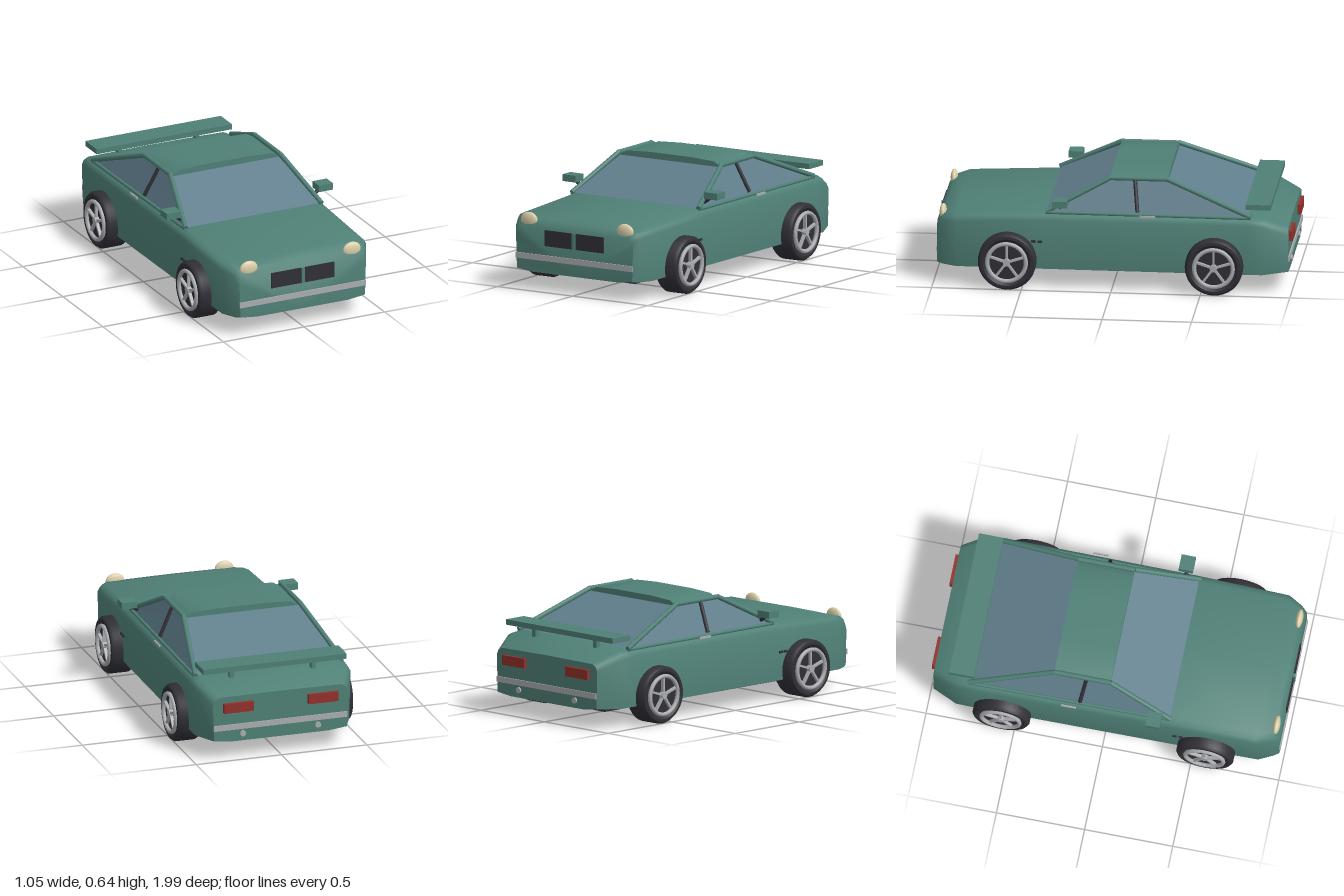
import * as THREE from 'three';
import { toCreasedNormals } from 'three/addons/utils/BufferGeometryUtils.js';

const mat = (name, color, side = THREE.FrontSide) => {
  const m = new THREE.MeshStandardMaterial({ color, side });
  m.name = name;
  return m;
};

export function createModel() {
  const paint = mat('green paint', 0x4f8076);
  const glass = mat('blue grey glass', 0x617f8d, THREE.DoubleSide);
  const rubber = mat('dark rubber', 0x302f37);
  const metal = mat('silver metal', 0xabadb0);
  const cream = mat('cream lamp', 0xdccfaa);
  const red = mat('red lamp', 0x93302a);

  const car = new THREE.Group();
  car.name = 'car';
  const add = (name, geo, material, parent = car) => {
    const m = new THREE.Mesh(geo, material);
    m.name = name;
    parent.add(m);
    return m;
  };
  const box = (name, material, w, h, d, x, y, z) => {
    const m = add(name, new THREE.BoxGeometry(w, h, d), material);
    m.position.set(x, y, z);
    return m;
  };
  // round bar between two points
  const bar = (name, material, a, b, r) => {
    const p = new THREE.Vector3(...a), q = new THREE.Vector3(...b);
    const dir = q.clone().sub(p);
    const m = add(name, new THREE.CylinderGeometry(r, r, dir.length(), 10), material);
    m.position.copy(p).add(q).multiplyScalar(0.5);
    m.quaternion.setFromUnitVectors(new THREE.Vector3(0, 1, 0), dir.normalize());
    return m;
  };
  // flat four-cornered pane
  const pane = (name, a, b, c, d) => {
    const g = new THREE.BufferGeometry();
    g.setAttribute('position', new THREE.Float32BufferAttribute([...a, ...b, ...c, ...a, ...c, ...d], 3));
    g.computeVertexNormals();
    return add(name, g, glass);
  };

  // body shell: sections [z, half width, top height, bottom height] front to back
  const sections = [
    [0.98, 0.39, 0.355, 0.105], [0.95, 0.41, 0.392, 0.1], [0.87, 0.45, 0.412, 0.1],
    [0.36, 0.455, 0.435, 0.1], [-0.75, 0.46, 0.437, 0.1], [-0.84, 0.458, 0.43, 0.1],
    [-0.98, 0.395, 0.37, 0.105],
  ];
  const rings = sections.map(([z, w, t, b]) => {
    const half = [[w * 0.72, b], [w * 0.985, b + 0.012], [w, t - 0.04], [w * 0.97, t - 0.015], [w * 0.9, t]];
    const left = half.map(([x, y]) => [x, y, z]);
    const right = half.map(([x, y]) => [-x, y, z]).reverse();
    return [[0, b, z], ...left, [0, t + 0.003, z], ...right];
  });
  const tri = [];
  const n = rings[0].length;
  for (let i = 0; i < rings.length - 1; i++) {
    for (let j = 0; j < n; j++) {
      const k = (j + 1) % n;
      const a = rings[i][j], b = rings[i][k], c = rings[i + 1][k], d = rings[i + 1][j];
      tri.push(...a, ...d, ...b, ...b, ...d, ...c);
    }
  }
  const front = rings[0], back = rings[rings.length - 1];
  for (let j = 1; j < n - 1; j++) {
    tri.push(...front[0], ...front[j], ...front[j + 1]);
    tri.push(...back[0], ...back[j + 1], ...back[j]);
  }
  const shell = new THREE.BufferGeometry();
  shell.setAttribute('position', new THREE.Float32BufferAttribute(tri, 3));
  add('body', toCreasedNormals(shell, 0.75), paint);
  box('underTray', rubber, 0.62, 0.04, 1.67, 0, 0.095, 0);

  // roof
  const roofShape = new THREE.Shape();
  [[0.335, 0.602], [0.33, 0.612], [0.29, 0.634], [0.14, 0.642], [-0.14, 0.642], [-0.29, 0.634], [-0.33, 0.612], [-0.335, 0.602]]
    .forEach(([x, y], i) => (i ? roofShape.lineTo(x, y) : roofShape.moveTo(x, y)));
  const roof = new THREE.ExtrudeGeometry(roofShape, { depth: 0.32, bevelEnabled: false });
  add('roof', toCreasedNormals(roof, 0.6), paint).position.z = -0.305;

  // windows
  pane('windscreen', [-0.415, 0.44, 0.365], [0.415, 0.44, 0.365], [0.333, 0.607, 0.012], [-0.333, 0.607, 0.012]);
  pane('rearWindow', [0.425, 0.436, -0.76], [-0.425, 0.436, -0.76], [-0.337, 0.61, -0.3], [0.337, 0.61, -0.3]);

  // grille and bumper strips
  for (const s of [1, -1]) {
    box('grille', rubber, 0.185, 0.09, 0.008, s * 0.1025, 0.305, 0.982);
    box(s > 0 ? 'frontBumperStrip' : 'rearBumperStrip', metal, 0.78, 0.032, 0.008, 0, 0.191, s * 0.983);
  }
  box('grilleDivider', paint, 0.02, 0.09, 0.016, 0, 0.305, 0.985);

  // rear spoiler
  box('spoiler', paint, 0.84, 0.03, 0.14, 0, 0.495, -0.815);

  const spokeGeo = new THREE.BoxGeometry(0.012, 0.1, 0.018);
  spokeGeo.translate(0, 0.055, 0);
  const tyreProfile = [[0.105, 0.05], [0.135, 0.07], [0.15, 0.068], [0.162, 0.052], [0.162, -0.055], [0.152, -0.07], [0.0, -0.07]];
  const tyreGeo = toCreasedNormals(
    new THREE.LatheGeometry(tyreProfile.map(([r, y]) => new THREE.Vector2(r, y)).reverse(), 36), 0.7);

  for (const s of [1, -1]) {
    // side windows and pillars
    pane('sideWindow', [s * 0.42, 0.437, 0.35], [s * 0.34, 0.61, 0.01], [s * 0.34, 0.61, -0.305], [s * 0.425, 0.437, -0.76]);
    bar('frontPillar', paint, [s * 0.422, 0.44, 0.37], [s * 0.341, 0.622, 0.015], 0.014);
    bar('rearPillar', paint, [s * 0.43, 0.44, -0.775], [s * 0.341, 0.622, -0.3], 0.014);
    bar('roofRail', paint, [s * 0.341, 0.62, 0.018], [s * 0.341, 0.62, -0.303], 0.014);
    bar('windowSill', paint, [s * 0.422, 0.434, 0.37], [s * 0.43, 0.434, -0.775], 0.01);
    bar('middlePillar', rubber, [s * 0.424, 0.45, -0.142], [s * 0.347, 0.608, -0.122], 0.011);

    // door mirror, handle and side vents
    box('doorMirror', paint, 0.088, 0.038, 0.08, s * 0.472, 0.506, 0.285);
    bar('mirrorArm', rubber, [s * 0.395, 0.452, 0.29], [s * 0.455, 0.495, 0.29], 0.011);
    box('doorHandle', metal, 0.008, 0.012, 0.085, s * 0.46, 0.434, -0.2);
    for (const z of [0.4, 0.436]) box('sideVent', rubber, 0.012, 0.012, 0.025, s * 0.455, 0.272, z);

    // lamps, exhausts and spoiler posts
    const lamp = add('headlight', new THREE.SphereGeometry(1, 24, 16), cream);
    lamp.scale.set(0.055, 0.045, 0.02);
    lamp.position.set(s * 0.32, 0.39, 0.952);
    box('tailLight', red, 0.175, 0.055, 0.025, s * 0.248, 0.307, -0.9875);
    const pipe = add('exhaust', new THREE.CylinderGeometry(0.017, 0.017, 0.03, 16), metal);
    pipe.rotation.x = Math.PI / 2;
    pipe.position.set(s * 0.22, 0.148, -0.975);
    box('spoilerPost', paint, 0.025, 0.06, 0.03, s * 0.24, 0.455, -0.83);

    // wheels, built along y and turned outward
    for (const z of [0.58, -0.575]) {
      const wheel = new THREE.Group();
      wheel.name = z > 0 ? 'frontWheel' : 'rearWheel';
      wheel.position.set(s * 0.445, 0.162, z);
      wheel.rotation.y = s * Math.PI / 2;
      car.add(wheel);
      add('tyre', tyreGeo, rubber, wheel).rotation.x = Math.PI / 2;
      add('wheelDisc', new THREE.CircleGeometry(0.108, 36), rubber, wheel).position.z = 0.05;
      add('rim', new THREE.TorusGeometry(0.108, 0.012, 8, 36), metal, wheel).position.z = 0.068;
      const hub = add('hub', new THREE.CylinderGeometry(0.02, 0.02, 0.03, 16), metal, wheel);
      hub.rotation.x = Math.PI / 2;
      hub.position.z = 0.062;
      for (let i = 0; i < 5; i++) {
        const spoke = add('spoke', spokeGeo, metal, wheel);
        spoke.position.z = 0.062;
        spoke.rotation.z = (i * Math.PI * 2) / 5;
      }
    }
  }
  return car;
}
